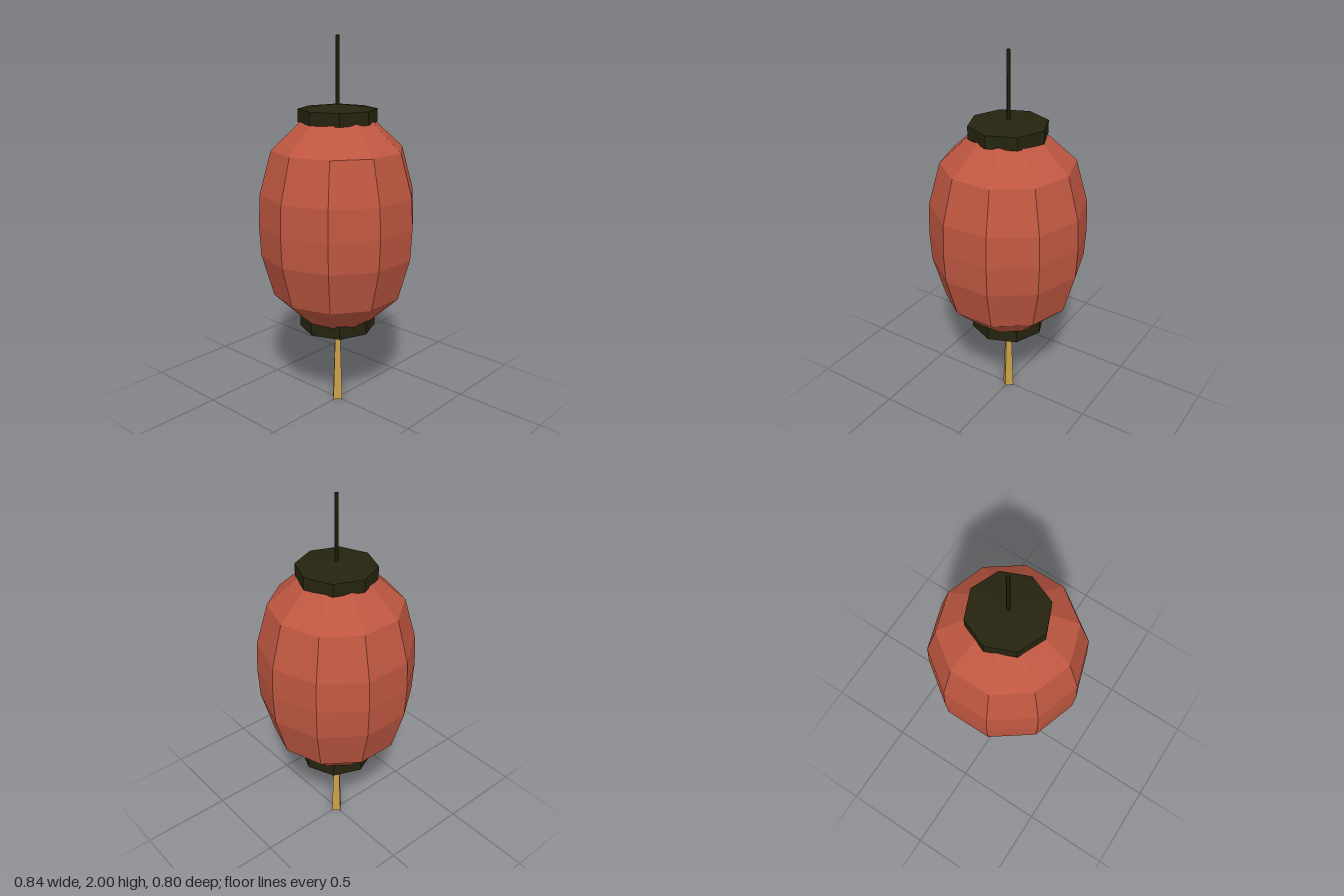
import * as THREE from 'three';

export function createModel() {
  const group = new THREE.Group();
  const mat = (name, color) => {
    const m = new THREE.MeshStandardMaterial({ color, flatShading: true });
    m.name = name;
    return m;
  };
  const paper = mat('red paper', 0xbf5741);
  const wood = mat('dark wood', 0x25240f);
  const gold = mat('gold thread', 0xc9a04a);

  const add = (name, geometry, material, y = 0) => {
    const mesh = new THREE.Mesh(geometry, material);
    mesh.name = name;
    mesh.position.y = y;
    group.add(mesh);
  };
  // Revolve [radius, height] pairs, listed from the bottom up, with a corner on the x axis
  const lathe = (points, sides) => new THREE.LatheGeometry(
    points.map(([r, y]) => new THREE.Vector2(r, y)), sides, Math.PI / 2);

  // Ten-sided barrel body
  add('lanternBody', lathe([
    [0, 0.5], [0.19, 0.505], [0.347, 0.653], [0.41, 0.88], [0.418, 1.043],
    [0.41, 1.207], [0.347, 1.433], [0.19, 1.58], [0, 1.585],
  ], 10), paper);

  // Octagonal end caps; the upper one has a shallow pitched top
  add('bottomCap', new THREE.CylinderGeometry(0.205, 0.205, 0.07, 8), wood, 0.485);
  add('topCap', lathe([
    [0, 1.57], [0.205, 1.57], [0.205, 1.637], [0.03, 1.659], [0, 1.659],
  ], 8), wood);

  // Hanging cord
  add('hangingCord', new THREE.CylinderGeometry(0.01, 0.01, 0.36, 6), wood, 1.82);

  // Four-sided tapering tassel
  add('tassel', new THREE.CylinderGeometry(0.017, 0.035, 0.46, 4), gold, 0.23);

  return group;
}
